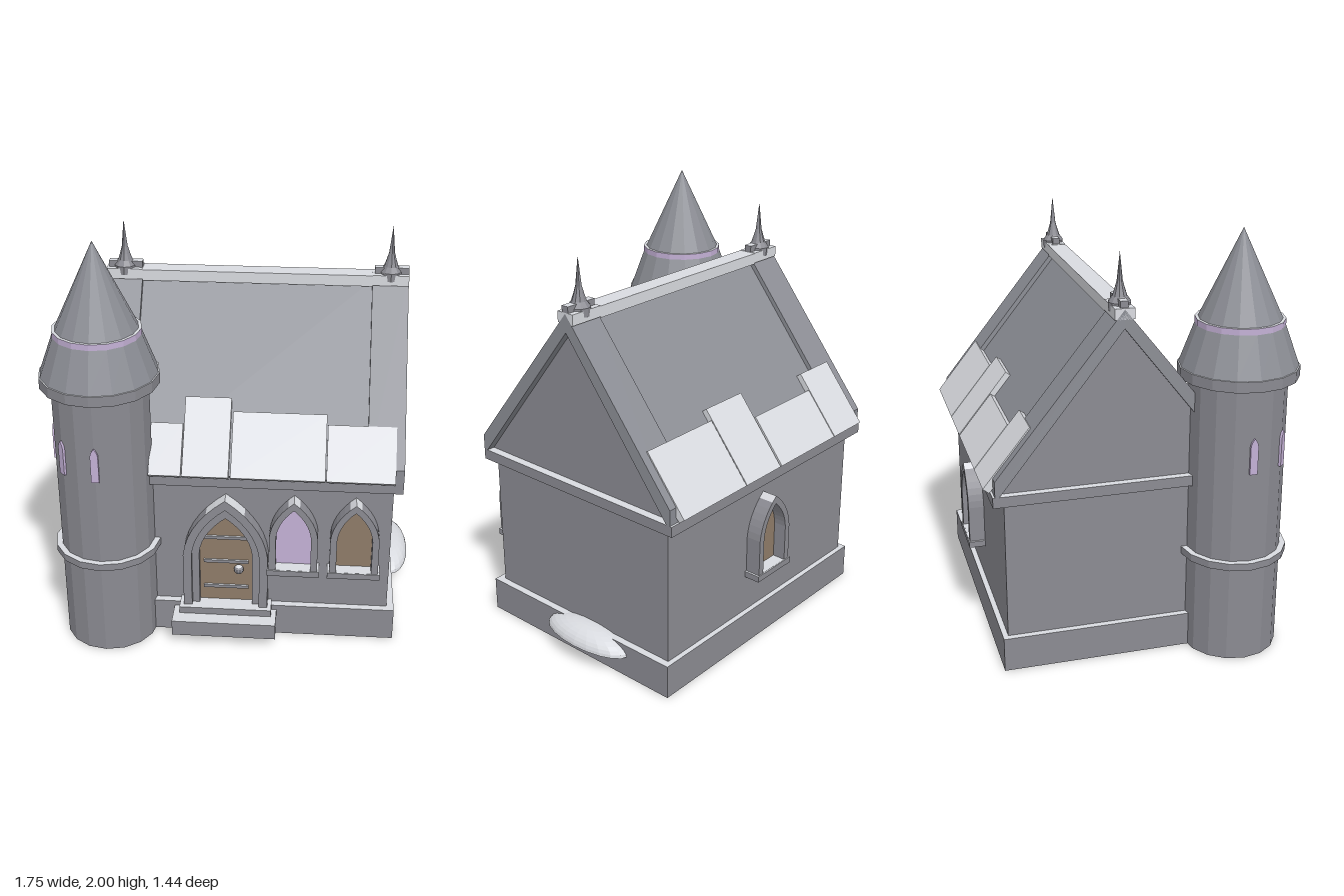
import * as THREE from 'three';

const mat = (name, color, side = THREE.FrontSide) =>
  Object.assign(new THREE.MeshStandardMaterial({ color, side, flatShading: true }), { name });

export function createModel() {
  const stone = mat('stone', 0x8b8b92);
  const roofing = mat('roof slate', 0x8c8e95);
  const snow = mat('snow', 0xd9dbe0);
  const glass = mat('violet glass', 0xc4b1d6);
  const wood = mat('wood', 0x8f7c69);
  const model = new THREE.Group();
  const ZC = -0.095;                 // ridge line in z
  const SLOPE = 1.25, ANGLE = Math.atan(SLOPE);

  // Adds a mesh; faces that look upward are covered with snow.
  function add(name, geometry, material, parent = model) {
    const g = geometry.index ? geometry.toNonIndexed() : geometry;
    const p = g.attributes.position, sides = [], tops = [];
    const tri = new THREE.Triangle(), n = new THREE.Vector3();
    for (let i = 0; i < p.count; i += 3) {
      tri.setFromAttributeAndIndices(p, i, i + 1, i + 2);
      if (tri.getArea() < 1e-9) continue;
      tri.getNormal(n);
      const list = n.y > 0.7 ? tops : sides;
      for (const v of [tri.a, tri.b, tri.c]) list.push(v.x, v.y, v.z);
    }
    const out = new THREE.BufferGeometry();
    out.setAttribute('position', new THREE.Float32BufferAttribute([...sides, ...tops], 3));
    out.computeVertexNormals();
    out.addGroup(0, sides.length / 3, 0);
    out.addGroup(sides.length / 3, tops.length / 3, 1);
    const mesh = new THREE.Mesh(out, [material, snow]);
    mesh.name = name;
    parent.add(mesh);
    return mesh;
  }

  // Box given by its limits.
  function box(name, x0, x1, y0, y1, z0, z1, material = stone, parent = model) {
    const g = new THREE.BoxGeometry(x1 - x0, y1 - y0, z1 - z0);
    g.translate((x0 + x1) / 2, (y0 + y1) / 2, (z0 + z1) / 2);
    return add(name, g, material, parent);
  }

  // Outline in (z, y) mirrored about the ridge and extruded along x.
  function gableForm(name, x0, x1, points, material) {
    const left = points.filter(q => q[0] > 0).reverse().map(([d, y]) => [-d, y]);
    const top = points[0], bottom = points[points.length - 1];
    const outline = [top, ...points.filter(q => q[0] > 0)];
    if (bottom[0] === 0) outline.push(bottom);
    const shape = new THREE.Shape([...outline, ...left].map(q => new THREE.Vector2(...q)));
    const g = new THREE.ExtrudeGeometry(shape, { depth: x1 - x0, bevelEnabled: false });
    g.rotateY(Math.PI / 2).translate(x0, 0, ZC);
    return add(name, g, material);
  }

  // Pointed arch outline.
  function arch(w, y0, spring, top, Type = THREE.Shape) {
    const s = new Type(), k = spring + (top - spring) * 0.58;
    s.moveTo(-w, y0);
    s.lineTo(w, y0);
    s.lineTo(w, spring);
    s.quadraticCurveTo(w * 0.9, k, 0, top);
    s.quadraticCurveTo(-w * 0.9, k, -w, spring);
    s.closePath();
    return s;
  }
  const solid = (shape, depth, z) =>
    new THREE.ExtrudeGeometry(shape, { depth, bevelEnabled: false, curveSegments: 7 }).translate(0, 0, z);
  function archFrame(name, o, i, y0, spring, depth, parent) {
    const shape = arch(o[0], y0, spring, o[1]);
    shape.holes.push(arch(i[0], y0 + 0.001, spring, i[1], THREE.Path));
    return add(name, solid(shape, depth, 0), stone, parent);
  }

  // Walls
  box('plinth', -0.64, 0.78, 0, 0.165, -0.66, 0.48);
  box('walls', -0.61, 0.745, 0.165, 0.83, -0.635, 0.445);
  box('cornice', -0.645, 0.785, 0.83, 0.88, -0.69, 0.49);
  gableForm('gableWalls', -0.61, 0.745, [[0, 1.62], [0.585, 0.885], [0.585, 0.87]], stone);

  // Roof with raised copings at both ends
  gableForm('roof', -0.475, 0.615, [[0, 1.65], [0.6, 0.9], [0.58, 0.88]], roofing);
  for (const x of [-0.645, 0.615]) {
    gableForm('gableCoping', x, x + 0.17,
      [[0, 1.685], [0.585, 1.685 - 0.585 * SLOPE], [0.585, 0.88], [0.565, 0.88], [0, 1.6]], roofing);
  }
  box('ridgeCap', -0.475, 0.615, 1.635, 1.688, -0.14, -0.05, snow);

  // Snow slabs on the eaves: x from, x to, upper edge measured from the ridge
  const slabs = {
    1: [[-0.39, -0.24, 0.475], [-0.235, -0.02, 0.395], [-0.01, 0.425, 0.435], [0.43, 0.745, 0.465]],
    [-1]: [[-0.6, -0.375, 0.415], [-0.37, 0.055, 0.47], [0.065, 0.315, 0.39], [0.32, 0.745, 0.425]],
  };
  const T = 0.036, LOW = 0.63;
  for (const side of [1, -1]) {
    for (const [x0, x1, d0] of slabs[side]) {
      const d = (d0 + LOW) / 2 - Math.sin(ANGLE) * T / 2;
      const y = 1.695 - SLOPE * (d0 + LOW) / 2 - Math.cos(ANGLE) * T / 2;
      const g = new THREE.BoxGeometry(x1 - x0, T, (LOW - d0) / Math.cos(ANGLE));
      g.rotateX(side * ANGLE).translate((x0 + x1) / 2, y, ZC + side * d);
      add('eaveSnow', g, snow);
    }
  }

  // Ridge finials
  for (const [x, x0] of [[-0.56, -0.645], [0.7, 0.615]]) {
    const f = new THREE.Group();
    f.name = 'finial';
    f.position.set(x, 0, ZC);
    model.add(f);
    box('finialSaddle', x0 - x, x0 - x + 0.17, 1.64, 1.69, -0.045, 0.045, snow, f);
    box('finialArm', x0 - x + 0.01, x0 - x + 0.17, 1.69, 1.72, -0.018, 0.018, stone, f);
    const profile = [[0.05, 1.66], [0.052, 1.70], [0.034, 1.725], [0.024, 1.755], [0.014, 1.79], [0.0001, 1.92]];
    add('finialSpike', new THREE.LatheGeometry(profile.map(q => new THREE.Vector2(...q)), 10), stone, f);
  }

  // Windows
  function makeWindow(name, x, y, z, turn, pane) {
    const w = new THREE.Group();
    w.name = name;
    w.position.set(x, y, z);
    w.rotation.y = turn;
    model.add(w);
    archFrame('windowFrame', [0.115, 0.375], [0.083, 0.335], 0, 0.18, 0.075, w);
    add('windowPane', solid(arch(0.084, 0, 0.18, 0.336), 0.008, 0.004), pane, w);
    box('windowSill', -0.125, 0.125, -0.03, 0, 0, 0.08, stone, w);
  }
  makeWindow('leftOfDoorWindow', 0.286, 0.4, 0.445, 0, glass);
  makeWindow('endWindow', 0.574, 0.4, 0.445, 0, wood);
  makeWindow('backWindow', 0.07, 0.38, -0.635, Math.PI, wood);

  // Door with stepped arch, hinges and knob
  const door = new THREE.Group();
  door.name = 'door';
  door.position.set(-0.037, 0, 0.445);
  model.add(door);
  archFrame('outerDoorArch', [0.203, 0.77], [0.162, 0.72], 0.165, 0.46, 0.07, door);
  archFrame('innerDoorArch', [0.163, 0.725], [0.127, 0.66], 0.165, 0.46, 0.045, door);
  add('doorPanel', solid(arch(0.128, 0.165, 0.46, 0.662), 0.009, 0.003), wood, door);
  for (const y of [0.255, 0.4, 0.535]) box('doorStrap', -0.108, 0.108, y - 0.008, y + 0.008, 0.01, 0.022, stone, door);
  add('doorKnob', new THREE.SphereGeometry(0.024, 10, 8).translate(0.062, 0.365, 0.03), stone, door);

  // Steps
  box('lowerStep', -0.29, 0.21, 0.06, 0.14, 0.44, 0.61);
  box('upperStep', -0.26, 0.185, 0.14, 0.175, 0.44, 0.54);

  // Tower
  const tower = new THREE.Group();
  tower.name = 'tower';
  tower.position.set(-0.605, 0, 0.445);
  model.add(tower);
  const drum = (name, rTop, rBottom, y0, y1, m) =>
    add(name, new THREE.CylinderGeometry(rTop, rBottom, y1 - y0, 16).translate(0, (y0 + y1) / 2, 0), m, tower);
  drum('towerBody', 0.224, 0.224, 0, 1.35, stone);
  drum('towerBand', 0.252, 0.252, 0.475, 0.51, stone);
  drum('towerCorbel', 0.274, 0.274, 1.34, 1.39, stone);
  drum('towerSkirt', 0.2, 0.268, 1.39, 1.575, roofing);
  drum('towerVioletRing', 0.201, 0.201, 1.575, 1.603, glass);
  drum('towerSpire', 0.0001, 0.187, 1.603, 2, roofing);
  for (const a of [0, -Math.PI / 4, -Math.PI / 2]) {
    const g = solid(arch(0.018, 0.94, 1.07, 1.11), 0.016, 0.216);
    add('towerSlit', g.rotateY(a), glass, tower);
  }

  // Snow drift against the right-hand wall
  const drift = new THREE.SphereGeometry(1, 20, 8, 0, Math.PI * 2, 0, Math.PI / 2);
  drift.scale(0.1, 0.077, 0.25).translate(0.775, 0.105, -0.165);
  add('snowDrift', drift, snow);
  const base = new THREE.CircleGeometry(1, 20).rotateX(Math.PI / 2);
  add('snowDriftBase', base.scale(0.1, 1, 0.25).translate(0.775, 0.105, -0.165), snow);

  return model;
}
